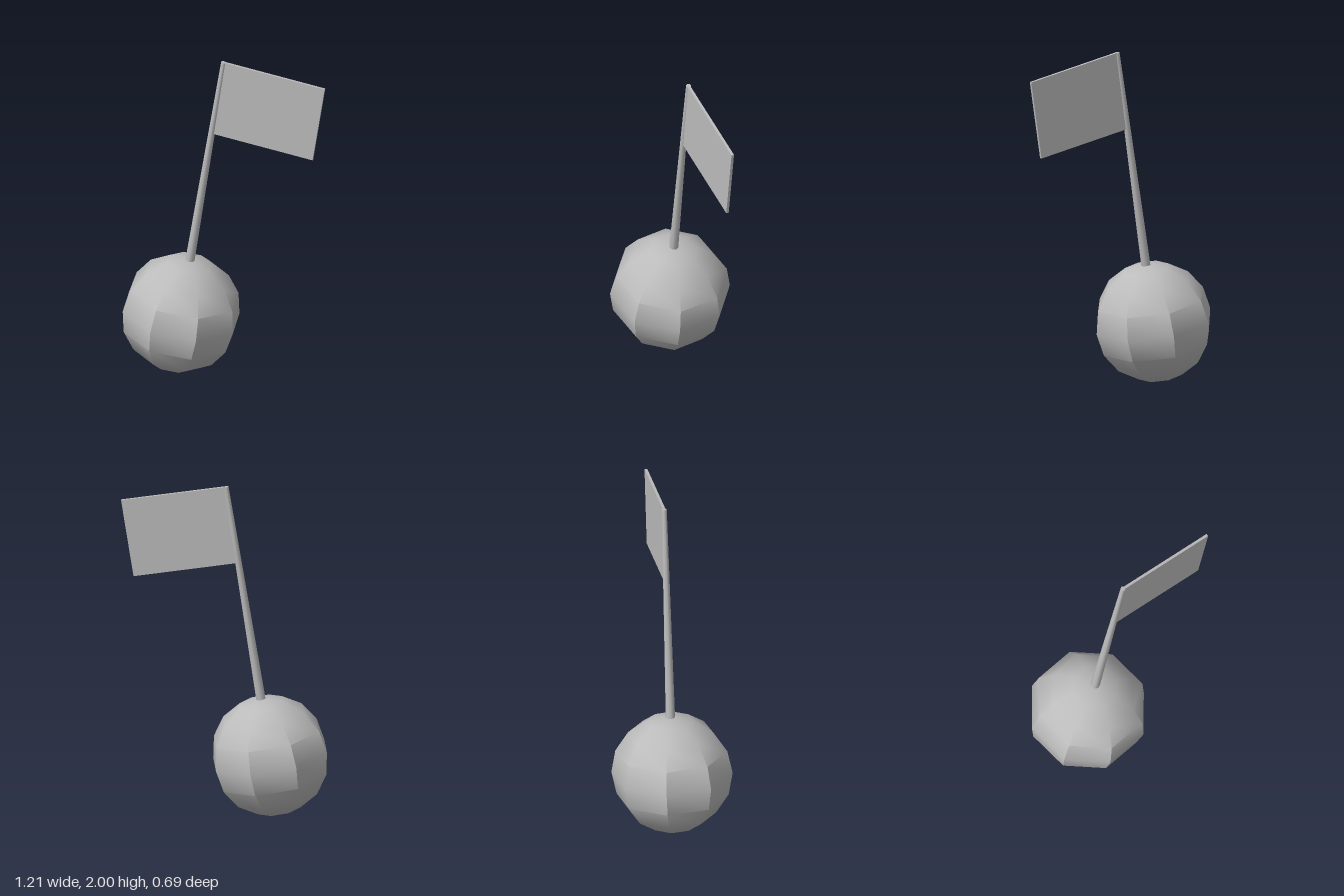
import * as THREE from 'three';
import { toCreasedNormals } from 'three/addons/utils/BufferGeometryUtils.js';

export function createModel() {
  const model = new THREE.Group();
  model.name = 'flagOnBall';
  const grey = new THREE.MeshStandardMaterial({ color: 0xbcbcbc });
  grey.name = 'plain grey';

  const add = (name, geometry, x, y, z) => {
    const mesh = new THREE.Mesh(geometry, grey);
    mesh.name = name;
    mesh.position.set(x, y, z);
    model.add(mesh);
  };

  // Faceted ball: soft poles, creased meridians around the equator
  const ball = new THREE.SphereGeometry(0.355, 8, 8);
  ball.rotateY(THREE.MathUtils.degToRad(-15));
  add('ball', toCreasedNormals(ball, THREE.MathUtils.degToRad(40)), 0, 0, 0);

  // Tapered pole rising from the ball
  const bottom = 0.3, top = 1.664;
  add('pole', new THREE.CylinderGeometry(0.015, 0.028, top - bottom, 8), 0, (top + bottom) / 2, 0);

  // Thin stiff flag at the top of the pole
  add('flag', new THREE.BoxGeometry(0.62, 0.471, 0.016), 0.31, 1.43, 0);

  // The whole piece leans to its left
  model.rotation.z = THREE.MathUtils.degToRad(-8.9);
  model.position.set(-0.265, 0.353, 0);
  return model;
}
